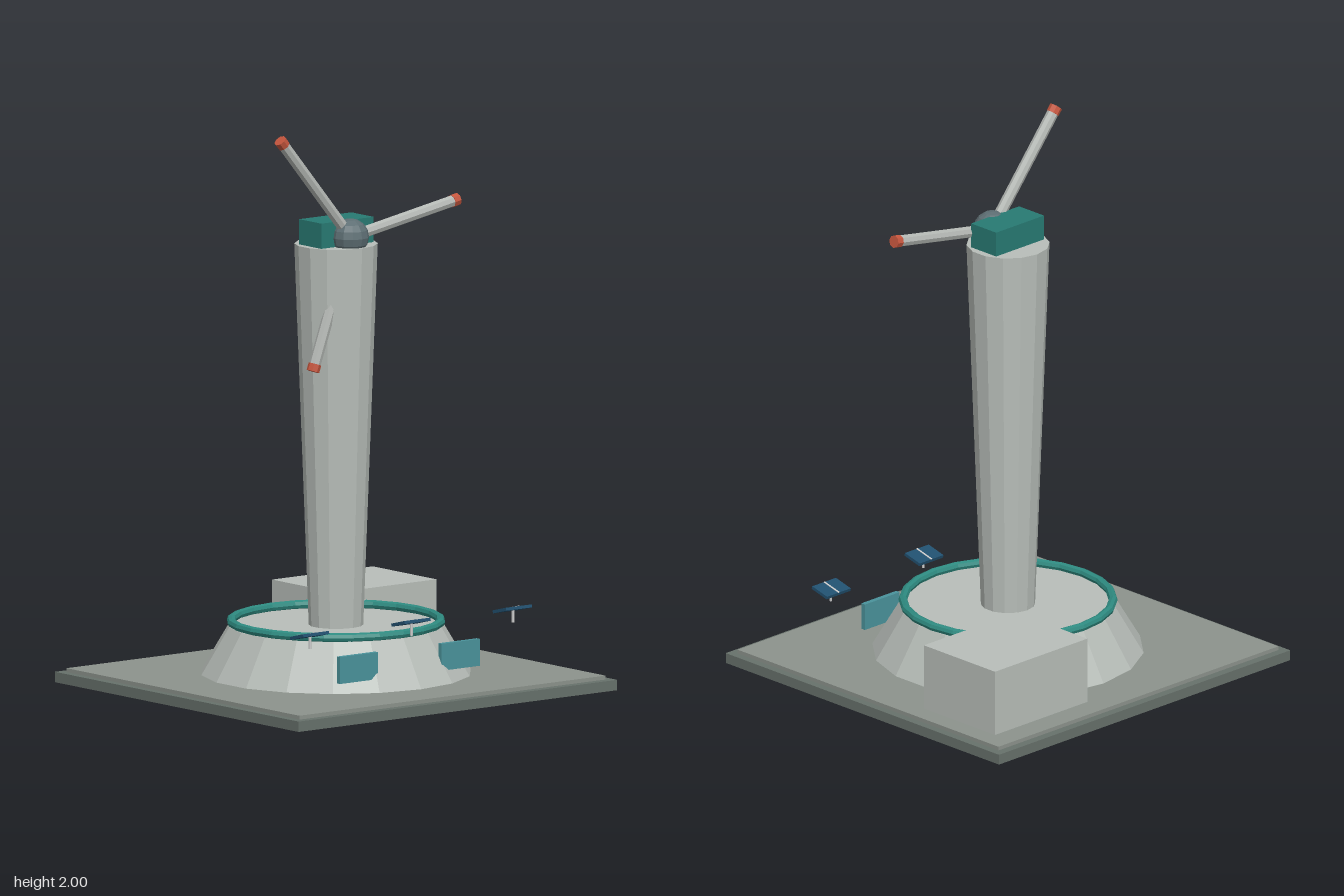
import * as THREE from 'three';

const mat = (color) => new THREE.MeshStandardMaterial({ color, flatShading: true });
const mats = {
  slab: mat(0x67716b), deck: mat(0x8c938c), concrete: mat(0xb8beb9), teal: mat(0x2e8a80),
  nacelle: mat(0x287a73), hub: mat(0x5d6e73), blade: mat(0xb4b8b4), tip: mat(0xc4553d),
  solar: mat(0x21506f), glass: mat(0x4a939b), steel: mat(0xcccccc),
};

function add(parent, name, geometry, material, x = 0, y = 0, z = 0) {
  const mesh = new THREE.Mesh(geometry, material);
  mesh.name = name;
  mesh.position.set(x, y, z);
  parent.add(mesh);
  return mesh;
}

function group(parent, name, x = 0, y = 0, z = 0) {
  const g = new THREE.Group();
  g.name = name;
  g.position.set(x, y, z);
  parent.add(g);
  return g;
}

// Window panel with its lower inner corner cut; side = 1 is the model's left
function windowGeometry(side) {
  const points = [[0.143, 0.19], [0.143, 0.118], [0.153, 0.1], [0.17, 0.094], [0.315, 0.094], [0.315, 0.19]];
  const shape = new THREE.Shape(points.map(([x, y]) => new THREE.Vector2(x * side, y)));
  return new THREE.ExtrudeGeometry(shape, { depth: 0.018, bevelEnabled: false });
}

export function createModel() {
  const model = new THREE.Group();
  model.name = 'windTurbineStation';

  // Ground slabs
  add(model, 'baseSlab', new THREE.BoxGeometry(1.436, 0.037, 1.372), mats.slab, 0, 0.0185, 0);
  add(model, 'deckSlab', new THREE.BoxGeometry(1.38, 0.014, 1.31), mats.deck, 0, 0.044, 0);

  // Sloped plinth with its ring
  add(model, 'plinth', new THREE.CylinderGeometry(0.38, 0.48, 0.17, 18), mats.concrete, 0, 0.135, 0);
  const ring = add(model, 'plinthRing', new THREE.TorusGeometry(0.37, 0.016, 8, 24), mats.teal, 0, 0.234, 0);
  ring.rotation.x = Math.PI / 2;

  // Annex building at the back
  add(model, 'annex', new THREE.BoxGeometry(0.455, 0.24, 0.357), mats.concrete, 0.392, 0.17, -0.387);

  // Tower, wider at the top, and nacelle
  add(model, 'tower', new THREE.CylinderGeometry(0.147, 0.096, 1.36, 14), mats.concrete, 0, 0.9, 0);
  add(model, 'nacelle', new THREE.BoxGeometry(0.236, 0.09, 0.125), mats.nacelle, 0, 1.625, 0.002);

  // Rotor with three tubular blades
  const rotor = group(model, 'rotor', 0, 1.612, 0.08);
  add(rotor, 'hub', new THREE.SphereGeometry(0.067, 12, 8), mats.hub);
  for (const degrees of [10, 130, 250]) {
    const blade = group(rotor, 'blade');
    blade.rotation.z = THREE.MathUtils.degToRad(degrees - 90);
    add(blade, 'bladeTube', new THREE.CylinderGeometry(0.021, 0.021, 0.47, 8), mats.blade, 0, 0.235, 0);
    add(blade, 'bladeTip', new THREE.CylinderGeometry(0.023, 0.023, 0.027, 8), mats.tip, 0, 0.478, 0);
  }

  // Windows on the front slope
  for (const side of [-1, 1]) add(model, 'window', windowGeometry(side), mats.glass, 0, 0, 0.398);

  // Tilted solar panels on short posts
  for (const x of [-0.457, 0, 0.457]) {
    const panel = group(model, 'solarPanel', x, 0.283, 0.422);
    add(panel, 'post', new THREE.CylinderGeometry(0.005, 0.005, 0.045, 6), mats.steel, 0, -0.025, 0.003);
    const tilted = group(panel, 'tiltedPanel');
    tilted.rotation.x = -0.25;
    add(tilted, 'cells', new THREE.BoxGeometry(0.117, 0.011, 0.077), mats.solar);
    add(tilted, 'centreStrip', new THREE.BoxGeometry(0.007, 0.002, 0.077), mats.steel, 0, 0.006, 0);
  }

  return model;
}
